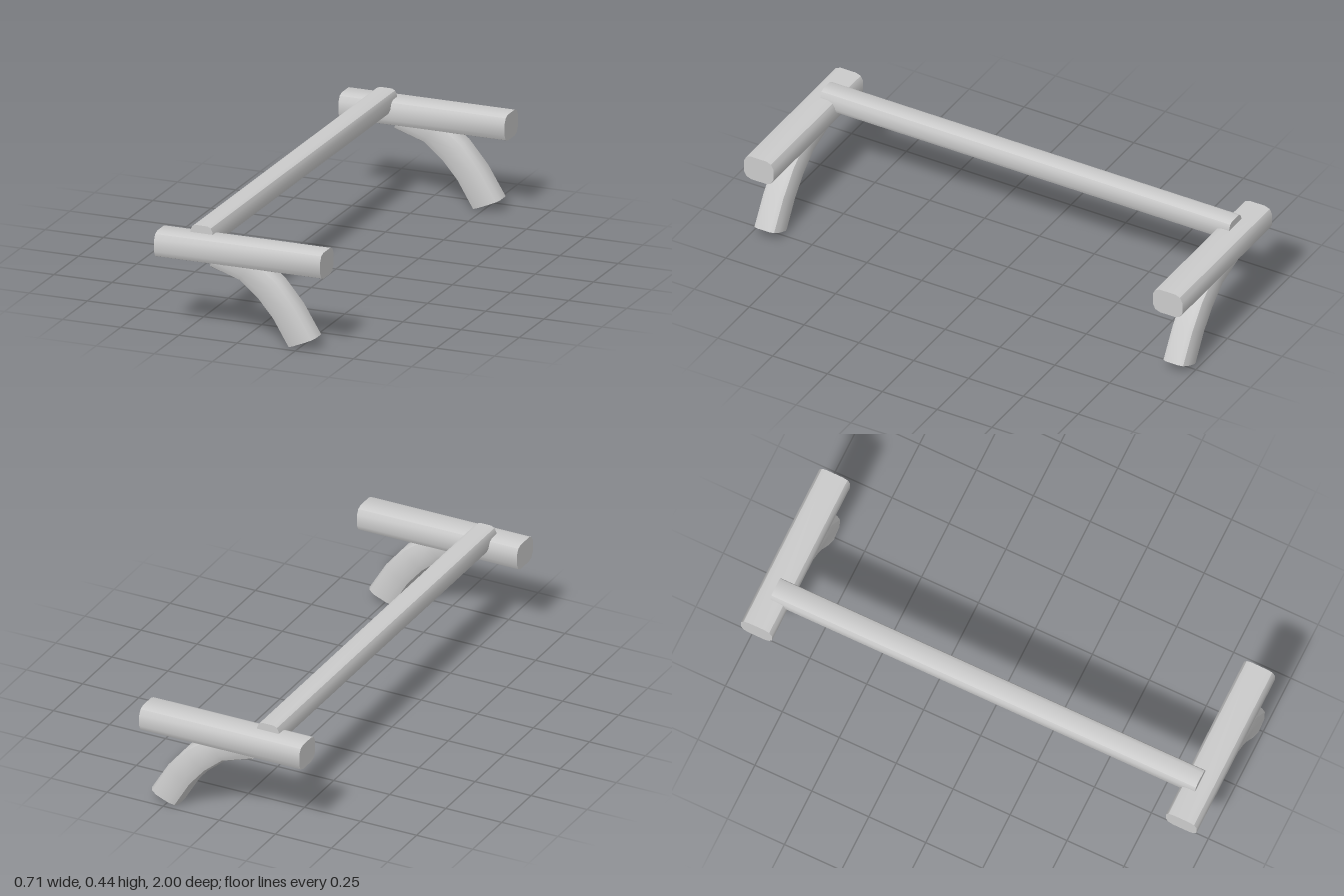
import * as THREE from 'three';
import { toCreasedNormals } from 'three/addons/utils/BufferGeometryUtils.js';

const V = (x, y, z) => new THREE.Vector3(x, y, z);

// Rounded-rectangle section shared by every beam, as a unit outline
const quarter = [[1, 0.45], [0.83, 0.85], [0.52, 1]];
const flipped = [...quarter].reverse();
const SECTION = [
  ...quarter,
  ...flipped.map(([u, v]) => [-u, v]),
  ...quarter.map(([u, v]) => [-u, -v]),
  ...flipped.map(([u, v]) => [u, -v]),
];

// Sweeps the section through stations { c: centre, u: half width, v: half height }
function beam(name, stations, material) {
  const n = SECTION.length, last = stations.length - 1;
  const positions = [], index = [];
  for (const { c, u, v } of stations) {
    for (const [a, b] of SECTION) {
      const p = c.clone().addScaledVector(u, a).addScaledVector(v, b);
      positions.push(p.x, p.y, p.z);
    }
  }
  for (let i = 0; i < last; i++) {
    for (let k = 0; k < n; k++) {
      const a = i * n + k, b = i * n + (k + 1) % n;
      index.push(a, b, a + n, b, b + n, a + n);
    }
  }
  // flat end caps
  for (let k = 1; k < n - 1; k++) {
    index.push(0, k + 1, k, last * n, last * n + k, last * n + k + 1);
  }
  const geometry = new THREE.BufferGeometry();
  geometry.setAttribute('position', new THREE.Float32BufferAttribute(positions, 3));
  geometry.setIndex(index);
  const mesh = new THREE.Mesh(toCreasedNormals(geometry, 0.6), material);
  mesh.name = name;
  return mesh;
}

export function createModel() {
  const group = new THREE.Group();
  group.name = 'benchFrame';
  const material = new THREE.MeshStandardMaterial({ color: 0xcccccc });

  // Long rail joining the two supports
  group.add(beam('crossRail', [-0.932, 0.932].map((z) => (
    { c: V(-0.182, 0.4, z), u: V(0.048, 0, 0), v: V(0, 0.045, 0) }
  )), material));

  // Lower and upper edge of the curved leg, from the arm down to the foot
  const legEdges = [
    [-0.13, 0.29, -0.085, 0.405],
    [-0.005, 0.25, 0.062, 0.346],
    [0.073, 0.185, 0.165, 0.268],
    [0.137, 0.11, 0.247, 0.17],
    [0.203, 0, 0.321, 0.049],
  ];

  for (const [side, z] of [['front', 0.9325], ['back', -0.9325]]) {
    // Horizontal arm
    group.add(beam(side + 'Arm', [-0.357, 0.357].map((x) => (
      { c: V(x, 0.359, z), u: V(0, 0, -0.0675), v: V(0, 0.054, 0) }
    )), material));
    // Curved leg
    group.add(beam(side + 'Leg', legEdges.map(([x0, y0, x1, y1]) => ({
      c: V((x0 + x1) / 2, (y0 + y1) / 2, z),
      u: V(0, 0, -0.054),
      v: V((x1 - x0) / 2, (y1 - y0) / 2, 0),
    })), material));
  }
  return group;
}
